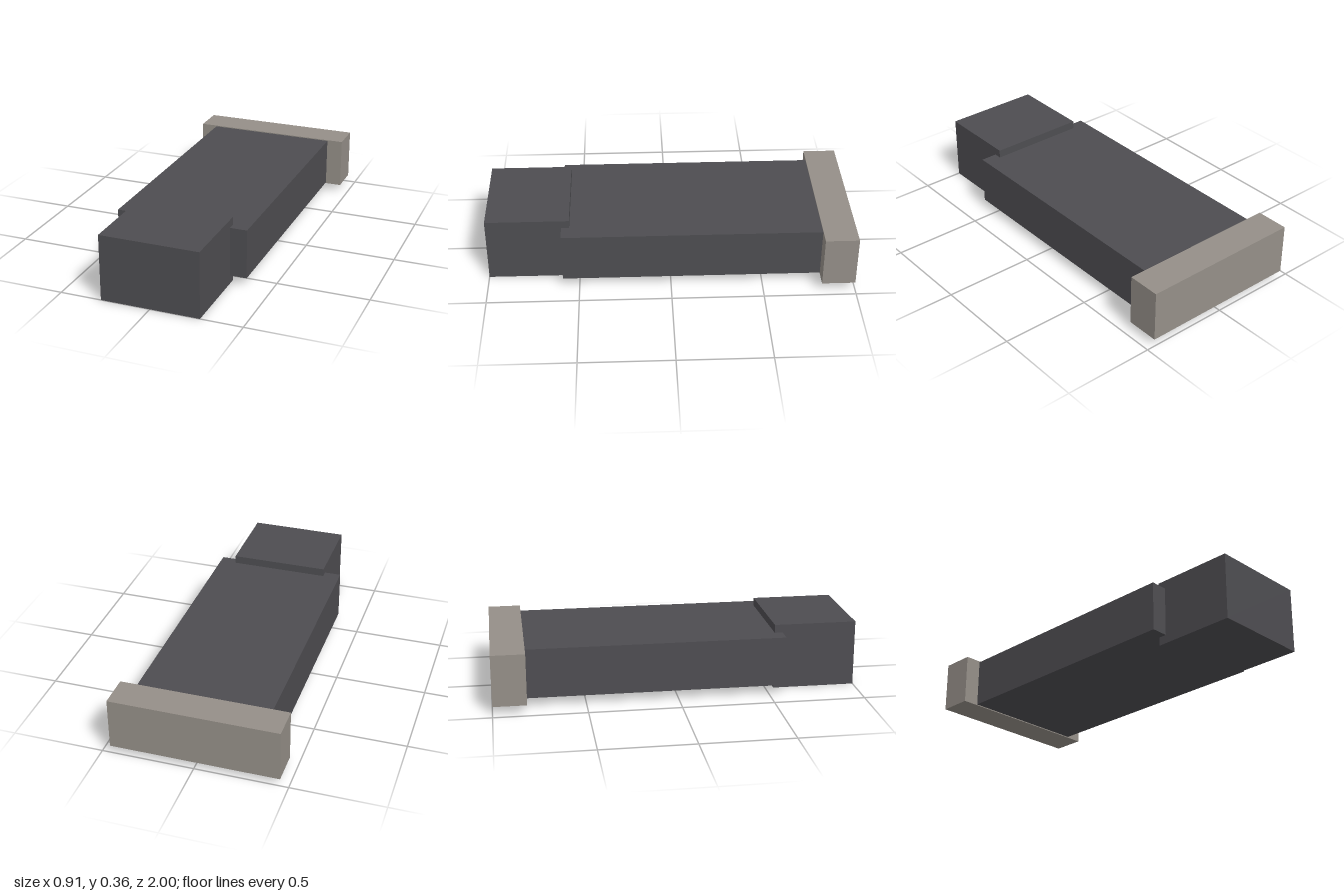
import * as THREE from 'three';

export function createModel() {
  const group = new THREE.Group();
  const dark = new THREE.MeshStandardMaterial({ color: 0x4e4d51 });
  dark.name = 'dark grey';
  const stone = new THREE.MeshStandardMaterial({ color: 0x958f88 });
  stone.name = 'warm grey';

  // Box spanning x = -halfWidth..halfWidth, y0..y1, z0..z1
  function block(name, material, halfWidth, y0, y1, z0, z1) {
    const mesh = new THREE.Mesh(new THREE.BoxGeometry(2 * halfWidth, y1 - y0, z1 - z0), material);
    mesh.position.set(0, (y0 + y1) / 2, (z0 + z1) / 2);
    mesh.name = name;
    group.add(mesh);
  }

  // Narrow, taller block at the front, overlapping the body
  block('frontBlock', dark, 0.272, 0, 0.364, 0.546, 1);
  // Long main body
  block('body', dark, 0.364, 0.047, 0.319, -0.82, 0.59);
  // Wide end plate at the back
  block('endPlate', stone, 0.455, 0.042, 0.324, -1, -0.818);

  return group;
}
